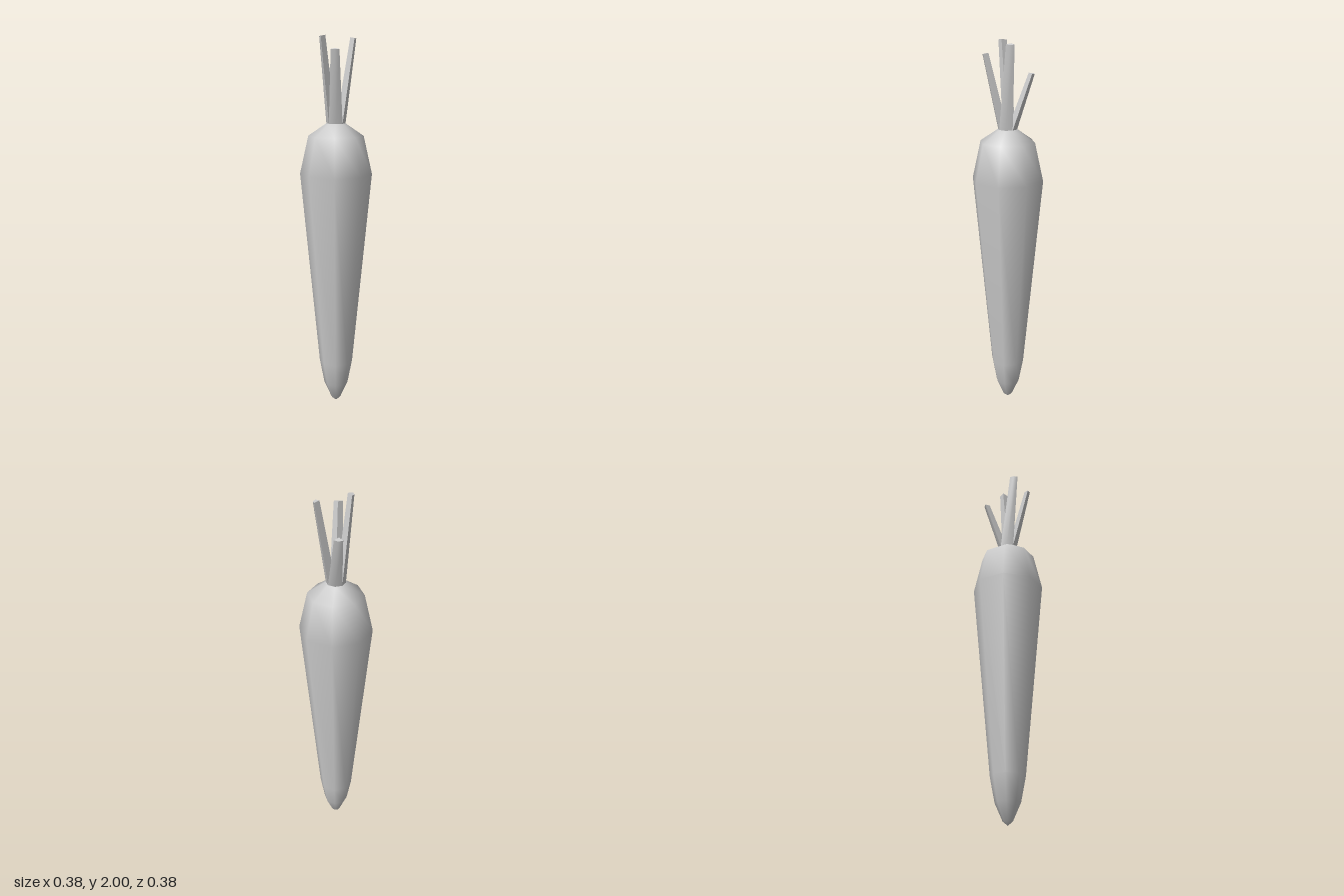
import * as THREE from 'three';
import { toCreasedNormals } from 'three/addons/utils/BufferGeometryUtils.js';

const material = new THREE.MeshStandardMaterial({ color: 0xcccccc });
const CROWN_Y = 1.555, CROWN_R = 0.05;

// One quarter of the crown octagon, counter-clockwise from above
function quarter(sx, sz, r, x, y, z, tilt) {
  const d = r * Math.SQRT1_2;
  const ring = [[0, 0], [r, 0], [d, d], [0, r]].map(([u, v]) =>
    [x + sx * u, y - tilt * (u + v), z + sz * v]);
  return sx * sz > 0 ? ring.reverse() : ring;
}

// Stalk that tapers from a crown quarter to a smaller, leaning tip
function stalkGeometry(sx, sz, x, y, z) {
  const base = quarter(sx, sz, CROWN_R, 0, CROWN_Y, 0, 0);
  const tip = quarter(sx, sz, 0.031, x, y, z, 0.15);
  const index = [4, 5, 6, 4, 6, 7];
  for (let i = 0; i < 4; i++) {
    const j = (i + 1) % 4;
    index.push(i, j, 4 + j, i, 4 + j, 4 + i);
  }
  const geometry = new THREE.BufferGeometry();
  geometry.setAttribute('position', new THREE.Float32BufferAttribute([...base, ...tip].flat(), 3));
  geometry.setIndex(index);
  return toCreasedNormals(geometry, THREE.MathUtils.degToRad(55));
}

export function createModel() {
  const group = new THREE.Group();

  // Eight-sided tapering root
  const profile = [
    [0, 0], [0.025, 0.02], [0.065, 0.11], [0.09, 0.24],
    [0.19, 1.29], [0.145, 1.49], [CROWN_R, CROWN_Y],
  ].map(([r, y]) => new THREE.Vector2(r, y));
  const root = new THREE.Mesh(new THREE.LatheGeometry(profile, 8), material);
  root.name = 'root';
  group.add(root);

  // Four stalks, one growing from each quarter of the crown
  const stalks = [
    ['frontLeftStalk', 1, 1, 0.07, 1.935, 0.07],
    ['backLeftStalk', 1, -1, 0.025, 1.99, -0.077],
    ['frontRightStalk', -1, 1, -0.005, 2.0, 0.068],
    ['backRightStalk', -1, -1, -0.09, 1.84, -0.055],
  ];
  for (const [name, ...shape] of stalks) {
    const stalk = new THREE.Mesh(stalkGeometry(...shape), material);
    stalk.name = name;
    group.add(stalk);
  }
  return group;
}
